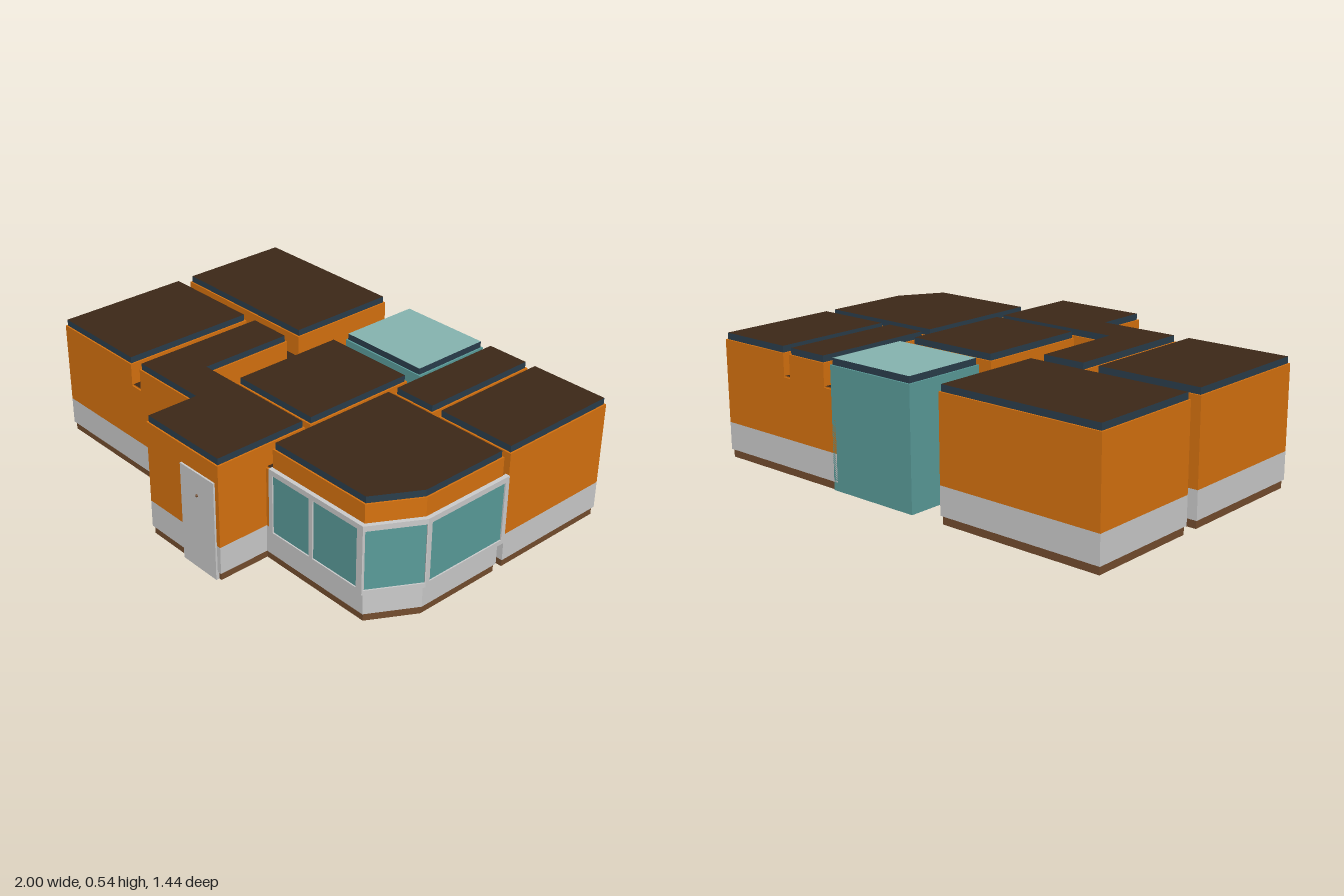
import * as THREE from 'three';

const mat = (color) => new THREE.MeshStandardMaterial({ color });
const thin = 0.007;

export function createModel() {
  const house = new THREE.Group();
  house.name = 'house';

  const grey = mat(0xcccccc);
  const orange = mat(0xd7720f);
  const teal = mat(0x5a9c9a);
  const paleTeal = mat(0x86b4b0);
  const darkBrown = mat(0x3c2818);
  const brown = mat(0x744d2e);
  const slate = mat(0x2a3e4c);

  // Floor outlines are [x, z] points, clockwise seen from above
  const rect = (x0, x1, z0, z1) => [[x0, z0], [x1, z0], [x1, z1], [x0, z1]];

  // Moves every edge of an outline outwards by d (inwards when negative)
  const offset = (pts, d) => pts.map((p, i) => {
    const a = pts[(i + pts.length - 1) % pts.length];
    const b = pts[(i + 1) % pts.length];
    const normal = (s, e) => new THREE.Vector2(e[1] - s[1], s[0] - e[0]).normalize();
    const n = normal(a, p);
    const m = normal(p, b);
    const k = d / (1 + n.dot(m));
    return [p[0] + (n.x + m.x) * k, p[1] + (n.y + m.y) * k];
  });

  // Upright prism over an outline, with separate cap and side materials
  const slab = (parent, name, pts, y0, y1, caps, sides = caps) => {
    const shape = new THREE.Shape(pts.map(([x, z]) => new THREE.Vector2(x, -z)));
    const geo = new THREE.ExtrudeGeometry(shape, { depth: y1 - y0, bevelEnabled: false });
    geo.rotateX(-Math.PI / 2).translate(0, y0, 0);
    const mesh = new THREE.Mesh(geo, [caps, sides]);
    mesh.name = name;
    parent.add(mesh);
  };

  // Skirting, grey lower wall and orange upper wall
  const walls = (name, pts, top) => {
    const room = new THREE.Group();
    room.name = name;
    slab(room, 'skirting', offset(pts, -thin), 0, 0.035, darkBrown, brown);
    slab(room, 'lowerWall', pts, 0.035, 0.155, grey);
    slab(room, 'upperWall', pts, 0.155, top, orange);
    house.add(room);
    return room;
  };

  // Rooms with flat, trimmed roofs
  const livingRoom = [[0.375, -0.125], [0.982, -0.125], [0.982, 0.28], [0.87, 0.475], [0.375, 0.475]];
  const rooms = {
    backRoom: rect(-1, -0.25, -0.72, -0.205),
    sideRoom: rect(-1, -0.52, -0.14, 0.475),
    hall: [[-0.46, -0.14], [-0.25, -0.14], [-0.25, 0.28], [0.335, 0.28],
      [0.335, 0.705], [-0.1, 0.705], [-0.1, 0.475], [-0.46, 0.475]],
    centreRoom: rect(-0.1, 0.335, -0.27, 0.25),
    corridor: rect(0.375, 0.58, -0.72, -0.16),
    cornerRoom: rect(0.615, 0.982, -0.72, -0.16),
    livingRoom,
  };
  for (const [name, pts] of Object.entries(rooms)) {
    const room = walls(name, pts, 0.515);
    slab(room, 'roof', offset(pts, -thin), 0.515, 0.543, darkBrown, slate);
  }

  // Low doorways joining the rooms, run slightly into the walls
  const e = 0.02;
  const doorways = [
    rect(-0.52 - e, -0.46 + e, 0.28, 0.475),
    rect(-0.46, -0.25, -0.205 - e, -0.14 + e),
    rect(0.335 - e, 0.375 + e, 0.28, 0.475),
    rect(0.335 - e, 0.375 + e, -0.27, -0.125),
    rect(0.375, 0.58, -0.16 - e, -0.125 + e),
    rect(0.58 - e, 0.615 + e, -0.72, -0.555),
    rect(0.335 - e, 0.375 + e, -0.72, -0.555),
  ];
  for (const pts of doorways) {
    const doorway = walls('doorway', pts, 0.415);
    slab(doorway, 'doorwayRoof', offset(pts, -thin), 0.415, 0.42, darkBrown, orange);
  }

  // Glass room at the back
  const glassRoom = new THREE.Group();
  glassRoom.name = 'glassRoom';
  const glassPlan = rect(-0.1, 0.335, -0.72, -0.34);
  slab(glassRoom, 'glassWalls', glassPlan, 0, 0.515, teal);
  slab(glassRoom, 'glassRoof', offset(glassPlan, -thin), 0.515, 0.543, paleTeal, slate);
  house.add(glassRoom);

  // Window panel from a to b; panes are [start, end] distances along it
  const windowPanel = (a, b, panes) => {
    const length = Math.hypot(b[0] - a[0], b[1] - a[1]);
    const box = (Type, x0, x1, y0, y1) => new Type([[x0, y0], [x1, y0], [x1, y1], [x0, y1]]
      .map(([x, y]) => new THREE.Vector2(x, y)));
    const frameShape = box(THREE.Shape, 0, length, 0.135, 0.435);
    const panel = new THREE.Group();
    panel.name = 'window';
    for (const [s, t] of panes(length)) {
      frameShape.holes.push(box(THREE.Path, s, t, 0.155, 0.412));
      const glass = new THREE.Mesh(new THREE.BoxGeometry(t - s, 0.257, 0.008), teal);
      glass.name = 'windowGlass';
      glass.position.set((s + t) / 2, 0.2835, -0.01);
      panel.add(glass);
    }
    const frame = new THREE.Mesh(
      new THREE.ExtrudeGeometry(frameShape, { depth: 0.02, bevelEnabled: false }), grey);
    frame.name = 'windowFrame';
    frame.position.z = -0.02;
    panel.add(frame);
    panel.position.set(a[0], 0, a[1]);
    panel.rotation.y = Math.atan2(a[1] - b[1], b[0] - a[0]);
    house.add(panel);
  };

  // Bay window wrapping the living room's front, chamfer and side
  const bay = offset(livingRoom, 0.018);
  windowPanel([0.37, bay[3][1]], bay[3], (l) => [[0.02, 0.225], [0.245, l - 0.03]]);
  windowPanel(bay[3], bay[2], (l) => [[0.004, l - 0.004]]);
  windowPanel(bay[2], bay[1], (l) => [[0.02, l - 0.02]]);

  // Front door with knob
  const door = new THREE.Mesh(new THREE.BoxGeometry(0.2, 0.435, 0.02), grey);
  door.name = 'frontDoor';
  door.position.set(0.215, 0.2175, 0.703);
  house.add(door);
  const knob = new THREE.Mesh(new THREE.SphereGeometry(0.006, 10, 8), brown);
  knob.name = 'doorKnob';
  knob.position.set(0.215, 0.335, 0.714);
  house.add(knob);

  return house;
}
